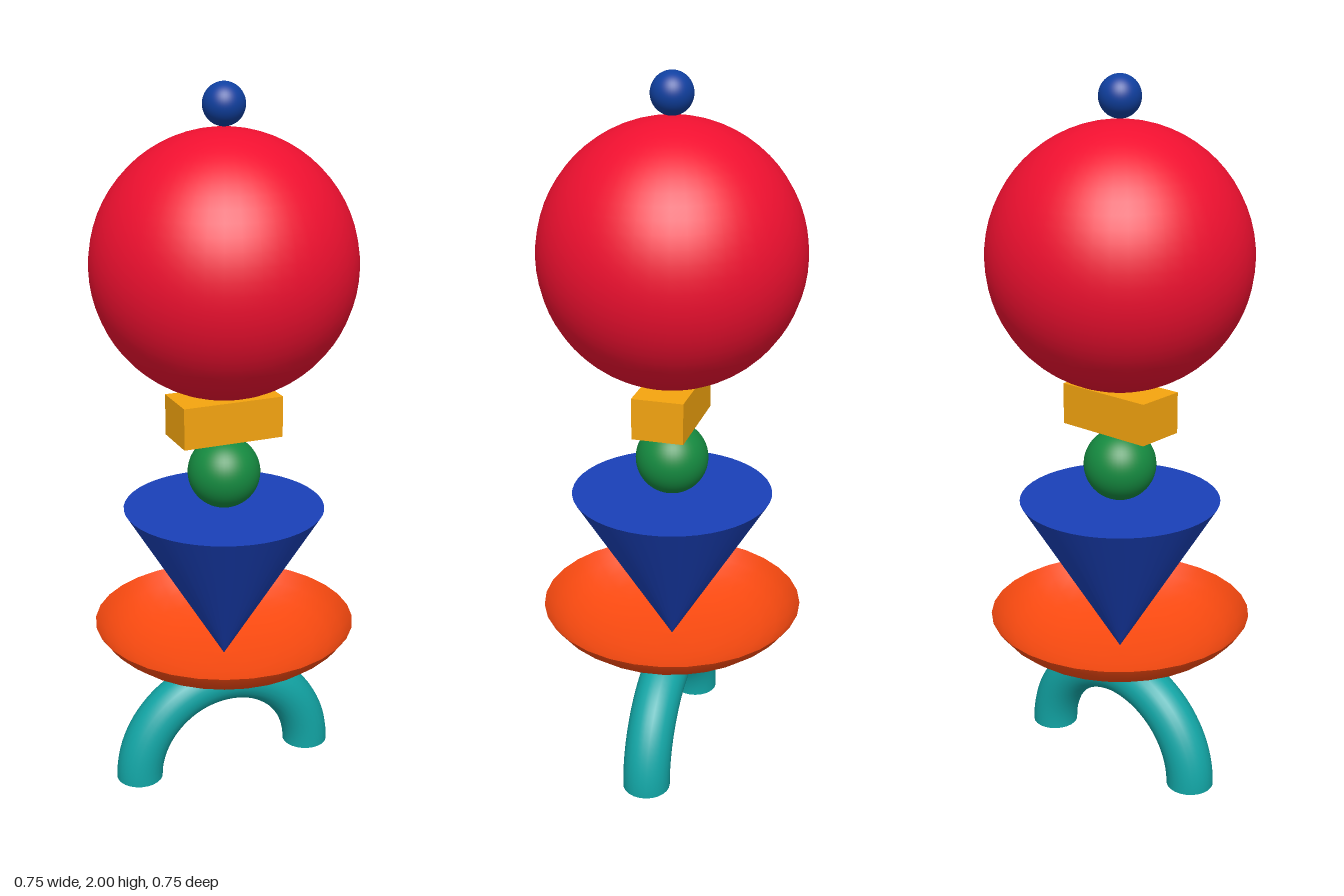
import * as THREE from 'three';

export function createModel() {
  const model = new THREE.Group();

  const add = (name, geometry, color, y, parent = model) => {
    const material = new THREE.MeshStandardMaterial({ color });
    const mesh = new THREE.Mesh(geometry, material);
    mesh.name = name;
    mesh.position.y = y;
    parent.add(mesh);
    return mesh;
  };
  const ball = (name, radius, color, y) =>
    add(name, new THREE.SphereGeometry(radius, 48, 32), color, y);

  // Arched base: half torus with closed feet
  const teal = 0x12a5a5, archRadius = 0.272, tube = 0.068;
  const arch = new THREE.Group();
  arch.name = 'arch';
  model.add(arch);
  add('archTube', new THREE.TorusGeometry(archRadius, tube, 24, 48, Math.PI), teal, 0, arch);
  for (const side of [-1, 1]) {
    const foot = add('archFoot', new THREE.CircleGeometry(tube, 24), teal, 0, arch);
    foot.rotation.x = Math.PI / 2;
    foot.position.x = side * archRadius;
  }

  // Shallow open bowl
  const profile = [
    [0, 0], [0.08, 0.002], [0.15, 0.009], [0.21, 0.02], [0.265, 0.038],
    [0.31, 0.06], [0.345, 0.088], [0.365, 0.112], [0.376, 0.128],
  ].map(([r, y]) => new THREE.Vector2(r, y));
  const bowl = add('bowl', new THREE.LatheGeometry(profile, 32), 0xfa4a10, 0.346);
  bowl.material.side = THREE.DoubleSide;

  // Inverted cone standing on its tip
  const cone = add('cone', new THREE.ConeGeometry(0.286, 0.472, 48), 0x1a40b8, 0.589);
  cone.rotation.x = Math.PI;

  // Stacked pieces above the cone
  ball('smallBall', 0.103, 0x158a40, 0.93);
  add('block', new THREE.BoxGeometry(0.294, 0.118, 0.146), 0xf5a50f, 1.096);
  ball('largeBall', 0.363, 0xf01030, 1.521);
  ball('topBall', 0.057, 0x1040a0, 1.943);

  return model;
}
